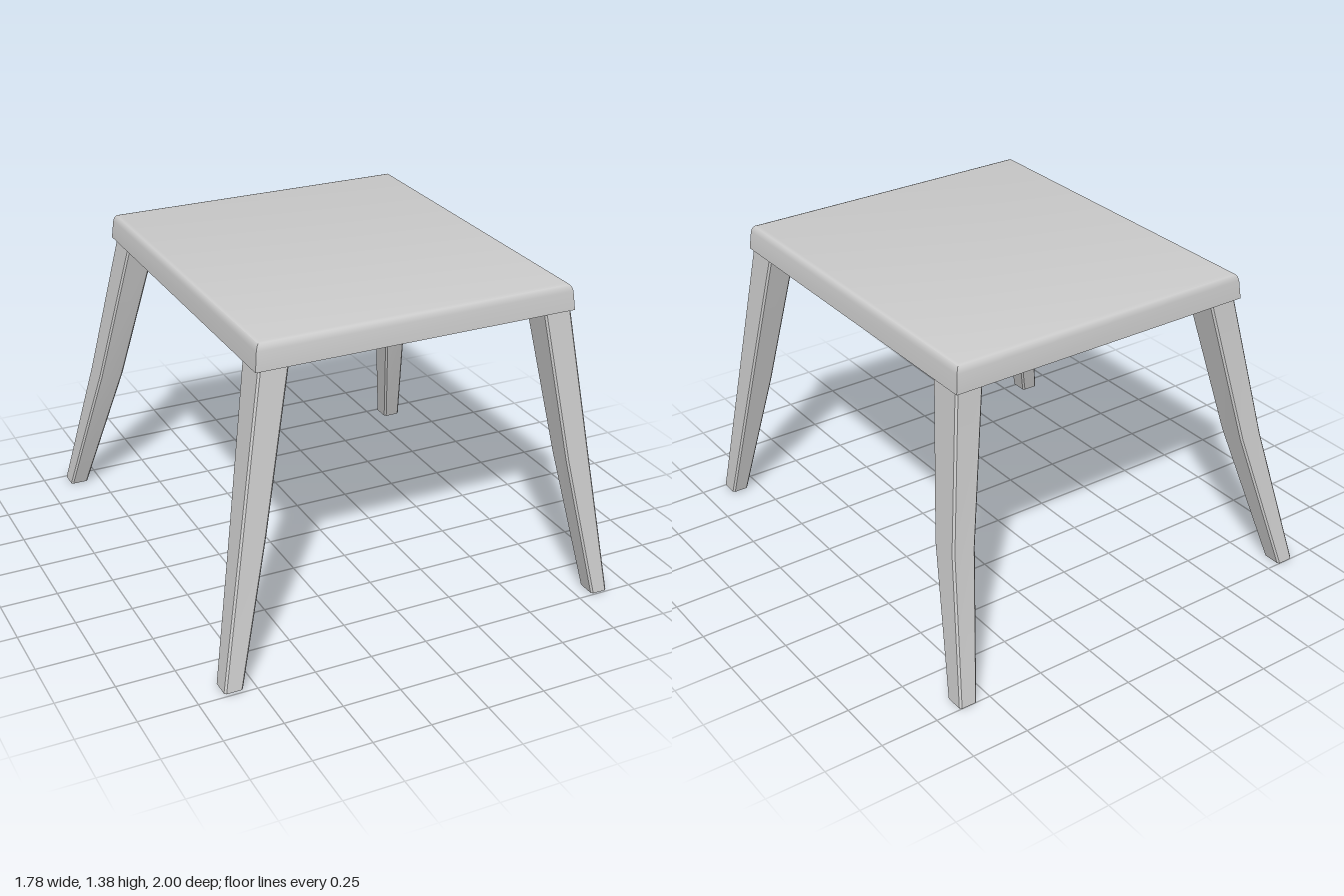
import * as THREE from 'three';
import { toCreasedNormals } from 'three/addons/utils/BufferGeometryUtils.js';

// Closed skin over a stack of rings, each anticlockwise seen from above
function loft(rings) {
  const pos = [];
  const tri = (a, b, c) => pos.push(...a, ...b, ...c);
  const n = rings[0].length;
  for (let r = 0; r < rings.length - 1; r++) {
    const a = rings[r], b = rings[r + 1];
    for (let i = 0; i < n; i++) {
      const j = (i + 1) % n;
      tri(a[i], a[j], b[j]);
      tri(a[i], b[j], b[i]);
    }
  }
  const first = rings[0], last = rings[rings.length - 1];
  for (let i = 1; i < n - 1; i++) {
    tri(first[0], first[i + 1], first[i]);
    tri(last[0], last[i], last[i + 1]);
  }
  const geo = new THREE.BufferGeometry();
  geo.setAttribute('position', new THREE.Float32BufferAttribute(pos, 3));
  return toCreasedNormals(geo, 0.6);
}

const rect = (x0, x1, z0, z1, y) => [[x0, y, z1], [x1, y, z1], [x1, y, z0], [x0, y, z0]];

// Rectangle with its four corners cut off by c
const chamfered = (x0, x1, z0, z1, y, c = 0.008) => [
  [x0 + c, y, z1], [x1 - c, y, z1], [x1, y, z1 - c], [x1, y, z0 + c],
  [x1 - c, y, z0], [x0 + c, y, z0], [x0, y, z0 + c], [x0, y, z1 - c],
];

export function createModel() {
  const group = new THREE.Group();
  const grey = new THREE.MeshStandardMaterial({ color: 0xcccccc });
  grey.name = 'light grey';

  // Tabletop: hollow underneath, rolled skirt; [inset, height] from underside to top
  const profile = [
    [0.03, 1.325], [0.022, 1.265], [0, 1.265], [0.008, 1.345],
    [0.013, 1.362], [0.021, 1.372], [0.034, 1.376],
  ];
  const top = new THREE.Mesh(
    loft(profile.map(([d, y]) => rect(-0.657 + d, 0.747 - d, -0.79 + d, 0.817 - d, y))), grey);
  top.name = 'tabletop';
  group.add(top);

  // Legs: each section is [x min, x max, z min, z max, y] at foot, knee and top
  const legs = {
    frontRightLeg: [[-0.89, -0.81, 0.91, 1, 0.012], [-0.765, -0.655, 0.78, 0.9, 0.62], [-0.62, -0.49, 0.63, 0.79, 1.365]],
    frontLeftLeg: [[0.81, 0.885, 0.91, 1, 0.006], [0.705, 0.815, 0.78, 0.9, 0.62], [0.6, 0.725, 0.63, 0.79, 1.365]],
    backRightLeg: [[-0.89, -0.81, -1, -0.91, 0], [-0.77, -0.66, -0.86, -0.73, 0.62], [-0.62, -0.49, -0.76, -0.6, 1.365]],
    backLeftLeg: [[0.81, 0.89, -1, -0.91, 0], [0.715, 0.82, -0.86, -0.73, 0.62], [0.6, 0.725, -0.76, -0.6, 1.365]],
  };
  for (const [name, sections] of Object.entries(legs)) {
    const leg = new THREE.Mesh(loft(sections.map((s) => chamfered(...s))), grey);
    leg.name = name;
    group.add(leg);
  }
  return group;
}
